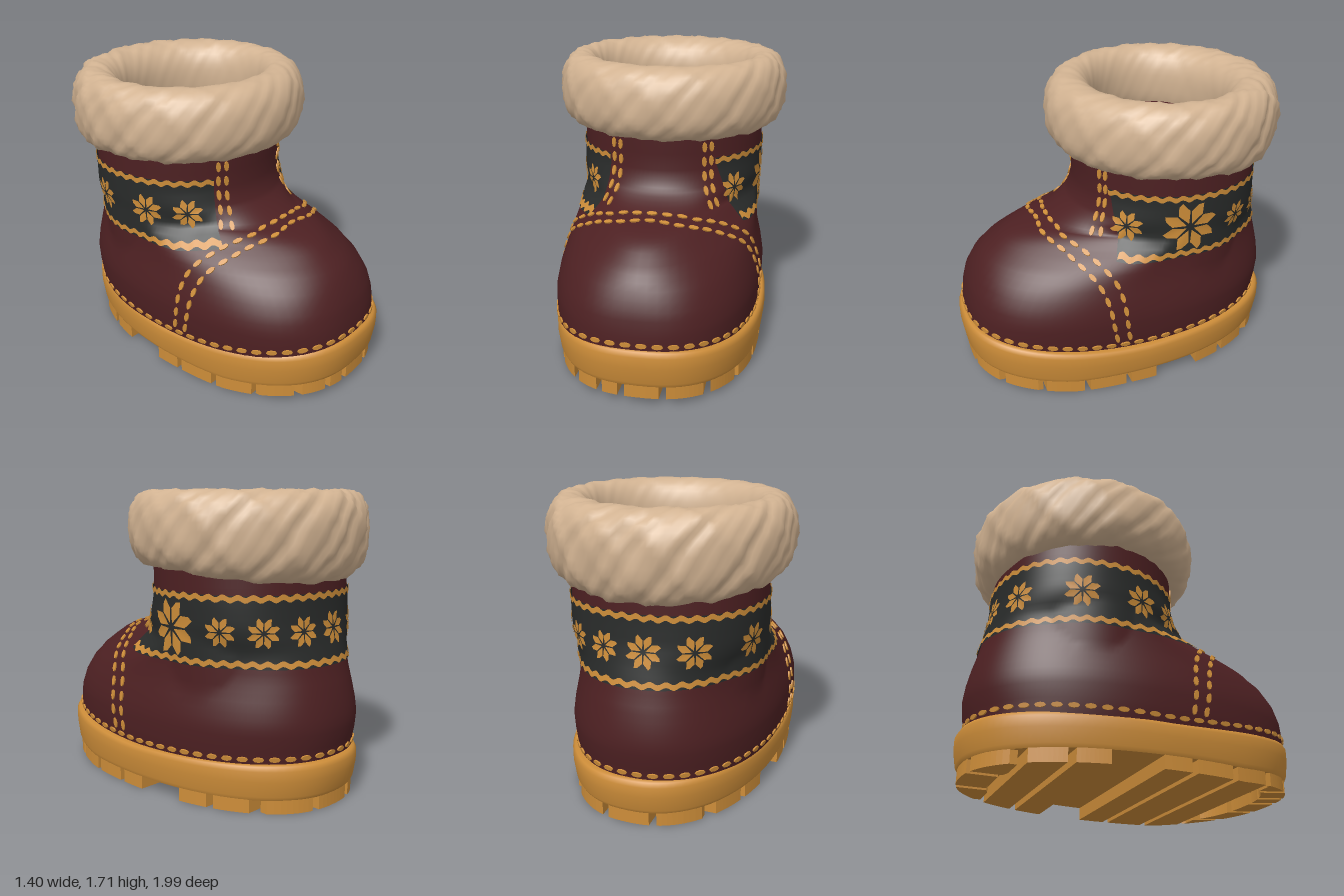
import * as THREE from 'three';
import { mergeGeometries } from 'three/addons/utils/BufferGeometryUtils.js';

const mat = (name, color, side = THREE.FrontSide) => {
  const m = new THREE.MeshStandardMaterial({ color, side });
  m.name = name;
  return m;
};
const spow = (v, e) => Math.sign(v) * Math.pow(Math.abs(v), e);
const V = (x, y, z) => new THREE.Vector3(x, y, z);
const TAU = Math.PI * 2;

// Surface from a rule f(u up, v to the right); wraps on request
function grid(rows, cols, f, wrapV = false, wrapU = false) {
  const nr = wrapU ? rows : rows + 1, nc = wrapV ? cols : cols + 1;
  const pos = [], idx = [];
  for (let i = 0; i < nr; i++)
    for (let j = 0; j < nc; j++) pos.push(...f(i / rows, j / cols).toArray());
  for (let i = 0; i < rows; i++)
    for (let j = 0; j < cols; j++) {
      const i2 = (i + 1) % nr, j2 = (j + 1) % nc;
      const a = i * nc + j, b = i * nc + j2, c = i2 * nc + j2, d = i2 * nc + j;
      idx.push(a, b, c, a, c, d);
    }
  const g = new THREE.BufferGeometry();
  g.setAttribute('position', new THREE.Float32BufferAttribute(pos, 3));
  g.setIndex(idx);
  g.computeVertexNormals();
  return g;
}

// Upper cross-sections: height, front z, back z, half width, fullness of the front
const RINGS = [
  [0.2, 0.95, -0.95, 0.59, 2.5], [0.3, 0.965, -0.955, 0.608, 2.5], [0.38, 0.965, -0.97, 0.613, 2.5],
  [0.46, 0.955, -0.978, 0.613, 2.5], [0.55, 0.935, -0.967, 0.598, 2.4], [0.65, 0.89, -0.945, 0.573, 2.2],
  [0.72, 0.84, -0.925, 0.56, 1.85], [0.78, 0.765, -0.91, 0.552, 1.35], [0.82, 0.71, -0.9, 0.548, 1.05],
  [0.85, 0.645, -0.893, 0.545, 0.95], [0.875, 0.555, -0.886, 0.545, 0.95], [0.89, 0.47, -0.882, 0.545, 1],
  [0.92, 0.385, -0.876, 0.55, 1.25], [0.96, 0.31, -0.868, 0.555, 1.7], [1.0, 0.265, -0.861, 0.557, 2],
  [1.1, 0.235, -0.855, 0.558, 2], [1.3, 0.24, -0.85, 0.56, 2], [1.4, 0.24, -0.85, 0.56, 2],
];
const AXIS_Z = -0.3;

// Point on the upper at angle p (0 = front, + towards the left side) and height y
function skin(p, y, off = 0) {
  let k = 0;
  while (k < RINGS.length - 2 && y > RINGS[k + 1][0]) k++;
  const A = RINGS[k], B = RINGS[k + 1];
  const t = (y - A[0]) / (B[0] - A[0]);
  const [, zf, zb, a, n] = A.map((v, i) => v + (B[i] - v) * t);
  const c = (zf + zb) / 2, b = (zf - zb) / 2, s = Math.sin(p), q = Math.cos(p);
  let lo = 0, hi = 2;
  for (let i = 0; i < 26; i++) {
    const r = (lo + hi) / 2, dz = AXIS_Z + r * q - c, front = dz > 0;
    const ex = front ? Math.max(2, n) : 2.2, ez = front ? n : 2.2;
    if (Math.pow(Math.abs(r * s / a), ex) + Math.pow(Math.abs(dz / b), ez) < 1) lo = r; else hi = r;
  }
  // the round shaft stands out above the toe dome
  const r = Math.max(lo, 1 / Math.hypot(s / 0.552, q / 0.535)) + off;
  return V(r * s, y, AXIS_Z + r * q);
}
function skinNormal(p, y) {
  const du = skin(p + 0.01, y).sub(skin(p - 0.01, y));
  const dv = skin(p, y + 0.008).sub(skin(p, y - 0.008));
  return du.cross(dv).normalize();
}

// Row of thin dashes along a path of [angle, height] points
function stitches(path, closed = false, step = 0.085) {
  const flat = new THREE.CatmullRomCurve3(path.map(([p, y]) => V(p, y, 0)));
  const pts = flat.getPoints(90).map(q => skin(q.x, q.y));
  if (closed) pts.pop();
  const curve = new THREE.CatmullRomCurve3(pts, closed);
  const n = Math.round(curve.getLength() / step), out = [];
  for (let i = 0; i < n; i++) {
    const s = (i + 0.5) / n, c = curve.getPointAt(s), t = curve.getTangentAt(s);
    const N = skinNormal(Math.atan2(c.x, c.z - AXIS_Z), c.y);
    const side = N.clone().cross(t).normalize(), T = side.clone().cross(N);
    const g = new THREE.CylinderGeometry(0.5, 0.5, 0.009, 8).rotateX(Math.PI / 2);
    g.scale(step * 0.72, 0.028, 1);
    g.applyMatrix4(new THREE.Matrix4().makeBasis(T, side, N).setPosition(c.addScaledVector(N, 0.005)));
    out.push(g);
  }
  return mergeGeometries(out);
}

// Eight-petalled snow star laid on the upper
function star(p0, y0, r) {
  const petals = [];
  for (let k = 0; k < 8; k++) {
    const a = (k + 0.5) * TAU / 8, w = r * 0.22;
    const pt = (d, e) => new THREE.Vector2(d * Math.cos(a) - e * Math.sin(a), d * Math.sin(a) + e * Math.cos(a));
    petals.push(new THREE.Shape([pt(r * 0.14, 0), pt(r * 0.6, -w), pt(r, -w * 0.4), pt(r * 0.9, w * 0.4), pt(r * 0.6, w)]));
  }
  const g = new THREE.ShapeGeometry(petals), P = g.attributes.position;
  for (let i = 0; i < P.count; i++) {
    const v = skin(p0 + P.getX(i) / 0.55, y0 + P.getY(i), 0.013);
    P.setXYZ(i, v.x, v.y, v.z);
  }
  g.computeVertexNormals();
  return g;
}

// Sole outline (narrower at the heel) and heights
const SX = 0.015, SB = 0.995, BASE = 0.075;
const soleN = z => (z > 0 ? 2.5 : 2.3);
const soleA = z => 0.628 - 0.04 * Math.max(0, -z);
const soleTop = z => 0.254 + 0.096 * Math.pow(Math.max(0, z), 1.6) + 0.022 * Math.max(0, -z);
const spring = z => Math.max(0, z - 0.45) * 0.09;
const halfWidth = z => 0.97 * soleA(z) * Math.pow(Math.max(0, 1 - Math.pow(Math.abs(z / (SB * 0.97)), soleN(z))), 1 / soleN(z));
function solePoint(v, s) {
  const c = Math.cos(v * TAU), n = soleN(c), z = SB * spow(c, 2 / n);
  return V(SX + s * soleA(z) * spow(Math.sin(v * TAU), 2 / n), 0, s * z);
}

// Tread block raised from a plan outline of [x, z] points
function lug(points) {
  const shape = new THREE.Shape(points.map(([x, z]) => new THREE.Vector2(SX + x, -z)));
  const g = new THREE.ExtrudeGeometry(shape, { depth: BASE + 0.015, bevelEnabled: false }).rotateX(-Math.PI / 2);
  const P = g.attributes.position;
  for (let i = 0; i < P.count; i++) P.setY(i, P.getY(i) + spring(P.getZ(i)));
  g.computeVertexNormals();
  return g;
}
function crossBar(z1, z2) {
  const right = [], left = [];
  for (let i = 0; i <= 8; i++) {
    const z = z1 + (z2 - z1) * i / 8, h = halfWidth(z);
    right.push([h, z]);
    left.unshift([-h, z]);
  }
  return lug([...right, ...left]);
}
function edgeLug(x1, x2, dir, limit) {
  const outer = [], inner = [], n = soleN(dir), a = 0.97 * soleA(dir * 0.8);
  for (let i = 0; i <= 8; i++) {
    const x = x1 + (x2 - x1) * i / 8;
    const z = SB * 0.97 * Math.pow(1 - Math.pow(Math.abs(x / a), n), 1 / n);
    outer.push([x, dir * z]);
    inner.unshift([x, dir * Math.min(z - 0.03, Math.max(limit, z - 0.17))]);
  }
  return lug([...outer, ...inner]);
}

export function createModel() {
  const boot = new THREE.Group();
  boot.name = 'winterBoot';
  const leather = mat('maroon leather', 0x4d2022);
  const gold = mat('golden rubber and thread', 0xcd8d39, THREE.DoubleSide);
  const dark = mat('charcoal knit', 0x292b2a, THREE.DoubleSide);
  const fur = mat('cream fleece', 0xd2b392);
  const add = (name, geo, m) => {
    const mesh = new THREE.Mesh(geo, m);
    mesh.name = name;
    boot.add(mesh);
  };

  // Upper: toe and shaft in one skin, with the lining floor inside the cuff
  const last = RINGS.length - 1;
  add('upper', grid(last * 2, 128, (u, v) => {
    const k = Math.min(last - 1, Math.floor(u * last + 1e-6)), t = u * last - k;
    return skin(v * TAU, RINGS[k][0] + (RINGS[k + 1][0] - RINGS[k][0]) * t);
  }, true), leather);
  add('lining', new THREE.CircleGeometry(0.54, 48).rotateX(-Math.PI / 2).translate(0, 1.36, -0.305), leather);

  // Fleece cuff: lumpy ring, rougher and hanging lower at the back
  add('cuff', grid(36, 140, (u, v) => {
    const a = u * TAU, p = v * TAU, c = Math.cos(a), s = Math.sin(a);
    const lump = (Math.sin(13 * p + 1) * Math.sin(4 * a + 0.5) + Math.sin(22 * p + 2) * Math.sin(7 * a + 1)
      + Math.sin(35 * p) * Math.cos(10 * a)) * 0.007 * (0.55 + 0.45 * c) * (1 - 0.3 * Math.cos(p));
    const o = spow(c, 0.88), drop = s < 0 ? 0.07 * Math.max(0, -Math.cos(p)) : 0;
    const inner = c < 0 ? 0.018 * -c : 0;
    return V(Math.sin(p) * (0.565 + 0.13 * o + lump * c), 1.495 + spow(s, 0.88) * (0.21 + drop) + lump * s,
      AXIS_Z + inner + Math.cos(p) * (0.53 + 0.155 * o + lump * c));
  }, true, true), fur);

  // Sole: rounded wall, underside and tread
  const wall = [[0, 0.97], [0.12, 0.985], [0.55, 1], [0.85, 1], [0.97, 0.985], [1, 0.965], [1, 0.9]];
  add('soleWall', grid(wall.length - 1, 96, (u, v) => {
    const [h, s] = wall[Math.round(u * (wall.length - 1))], q = solePoint(v, s), b = BASE + spring(q.z);
    return q.setY(b + (soleTop(q.z) - b) * h);
  }, true), gold);
  add('soleUnderside', grid(8, 96, (u, v) => {
    const q = solePoint(v, 0.97 * Math.max(u, 0.001));
    return q.setY(BASE + spring(q.z));
  }, true), gold);
  const tread = [[0.4, 0.615], [0.145, 0.365], [-0.05, 0.11], [-0.5, -0.33], [-0.72, -0.54]].map(b => crossBar(...b));
  for (const [a, b] of [[-0.5, -0.39], [-0.355, -0.235], [-0.2, -0.11], [-0.07, 0.12], [0.16, 0.35], [0.385, 0.5]])
    tread.push(edgeLug(a, b, 1, 0.655));
  for (const [a, b] of [[-0.37, -0.16], [-0.12, 0.12], [0.16, 0.37]]) tread.push(edgeLug(a, b, -1, 0.755));
  add('tread', mergeGeometries(tread), gold);

  // Knitted band round the sides and back, slanting at its left front edge, with wavy borders
  const angle = (v, h) => { const start = 0.62 + 0.2 * (1 - h); return start + (TAU - 0.58 - start) * v; };
  const low = p => 0.795 + 0.04 * Math.max(0, 1 - (Math.min(p, TAU - p) - 0.6) / 0.35);
  const wave = p => 0.008 * Math.sin(46 * p);
  add('knitBand', grid(12, 130, (u, v) => {
    const p = angle(v, u);
    return skin(p, low(p) - 0.02 + (1.185 - low(p)) * u, 0.007);
  }), dark);
  for (const [name, h, y] of [['bandTopBorder', 1, () => 1.15], ['bandBottomBorder', 0, p => low(p) + 0.005]])
    add(name, grid(1, 260, (u, v) => {
      const p = angle(v, h);
      return skin(p, y(p) + wave(p) + (u - 0.5) * 0.03, 0.012);
    }), gold);

  // Snow stars on the band
  add('snowStars', mergeGeometries([
    [0.85, 0.095], [1.49, 0.16], [2.05, 0.085], [2.45, 0.085], [2.84, 0.085],
    [-0.86, 0.09], [-1.3, 0.1], [-1.93, 0.1], [-2.58, 0.095], [-3.04, 0.095],
  ].map(([p, r]) => star(p, 0.97, r))), gold);

  // Stitching: welt, double toe seam, double front seams
  const welt = [];
  for (let i = 0; i <= 64; i++) {
    const p = i / 64 * TAU;
    welt.push([p, soleTop(skin(p, 0.32).z) + 0.028]);
  }
  add('weltStitching', stitches(welt, true), gold);
  const both = half => [...half.map(([p, y]) => [-p, y]), ...half.slice(0, -1).reverse()];
  add('toeStitchingFront', stitches(both([[0.89, 0.3], [0.83, 0.55], [0.72, 0.7], [0.5, 0.8], [0.26, 0.862], [0, 0.886]])), gold);
  add('toeStitchingBack', stitches(both([[0.97, 0.3], [0.92, 0.56], [0.82, 0.71], [0.59, 0.815], [0.3, 0.88], [0, 0.904]])), gold);
  for (const p of [-0.53, -0.44, 0.5, 0.58])
    add(p > 0 ? 'leftFrontStitching' : 'rightFrontStitching', stitches([[p, 1.28], [p, 1.1], [p, 0.98], [p * 1.04, 0.88]]), gold);

  return boot;
}
